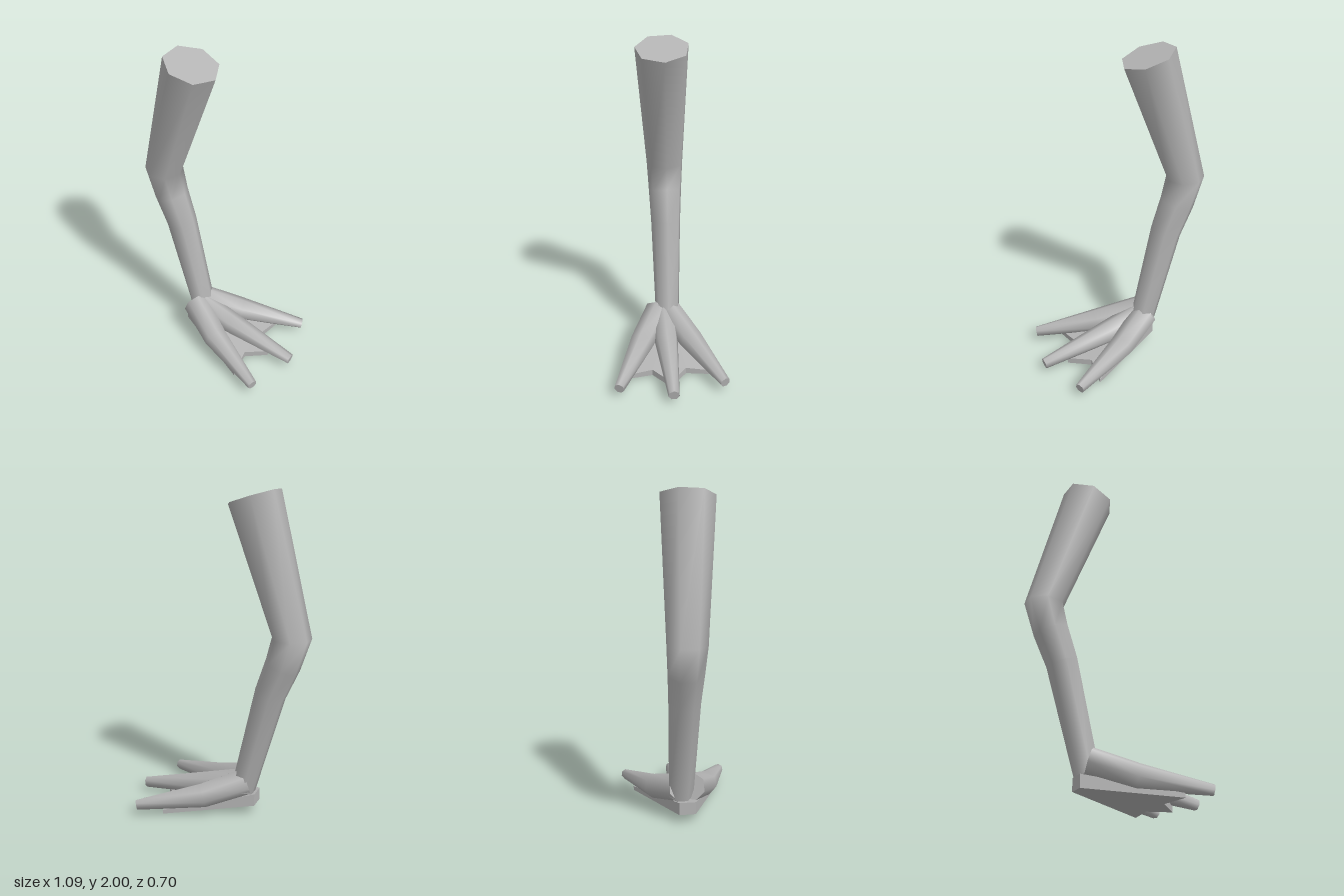
import * as THREE from 'three';

const SIDES = 7;

// Tapered tube through rings [x, y, z, radius]; ref points toward the first corner.
function limbGeometry(rings, ref) {
  const centres = rings.map(([x, y, z]) => new THREE.Vector3(x, y, z));
  const pos = [], idx = [], n = rings.length;
  const loops = rings.map(([, , , r], i) => {
    const t = new THREE.Vector3();
    if (i > 0) t.add(centres[i].clone().sub(centres[i - 1]).normalize());
    if (i < n - 1) t.add(centres[i + 1].clone().sub(centres[i]).normalize());
    t.normalize();
    const u = ref.clone().addScaledVector(t, -ref.dot(t)).normalize();
    const v = t.clone().cross(u);
    return Array.from({ length: SIDES }, (_, j) => {
      const a = (j / SIDES) * Math.PI * 2;
      return centres[i].clone().addScaledVector(u, r * Math.cos(a)).addScaledVector(v, r * Math.sin(a));
    });
  });
  const push = (p) => pos.push(p.x, p.y, p.z);
  loops.forEach((loop) => loop.forEach(push));
  for (let i = 0; i < n - 1; i++) {
    for (let j = 0; j < SIDES; j++) {
      const k = (j + 1) % SIDES;
      const a = i * SIDES + j, b = i * SIDES + k;
      idx.push(a, b, b + SIDES, a, b + SIDES, a + SIDES);
    }
  }
  // Flat caps with their own corners, so the rims stay sharp
  for (const [loop, end] of [[loops[0], false], [loops[n - 1], true]]) {
    const s = pos.length / 3;
    loop.forEach(push);
    for (let j = 1; j < SIDES - 1; j++) {
      if (end) idx.push(s, s + j, s + j + 1);
      else idx.push(s, s + j + 1, s + j);
    }
  }
  const g = new THREE.BufferGeometry();
  g.setAttribute('position', new THREE.Float32BufferAttribute(pos, 3));
  g.setIndex(idx);
  g.computeVertexNormals();
  return g;
}

// Webbed sole: a fan outline, thick at the heel and thin at the front
function webGeometry() {
  const half = [[0.29, 0.28], [0.26, 0.105], [0.375, 0]];
  const outline = [[-0.23, 0.05], ...half, [0.26, -0.105], [0.29, -0.28], [-0.23, -0.05]];
  const shape = new THREE.Shape(outline.map(([x, z]) => new THREE.Vector2(x, z)));
  const g = new THREE.ExtrudeGeometry(shape, { depth: 1, bevelEnabled: false });
  g.rotateX(Math.PI / 2);
  const p = g.attributes.position;
  for (let i = 0; i < p.count; i++) {
    const d = p.getX(i) + 0.23;
    const side = Math.abs(p.getZ(i));
    p.setY(i, p.getY(i) > -0.5 ? 0.14 - 0.17 * d - 0.04 * side : 0.06 - 0.099 * d + 0.04 * side * d);
  }
  g.computeVertexNormals();
  return g;
}

export function createModel() {
  const group = new THREE.Group();
  const skin = new THREE.MeshStandardMaterial({ color: 0xb4b4b4 });
  skin.name = 'grey skin';
  const add = (name, geometry) => {
    const mesh = new THREE.Mesh(geometry, skin);
    mesh.name = name;
    group.add(mesh);
  };

  // Leg, from ankle to thigh
  add('leg', limbGeometry([
    [-0.15, 0.16, -0.03, 0.077],
    [-0.315, 0.8, -0.035, 0.097],
    [-0.39, 0.99, -0.038, 0.108],
    [-0.441, 1.16, -0.04, 0.119],
    [-0.187, 1.953, 0, 0.163],
  ], new THREE.Vector3(1, 0, 0)));

  // Toes
  const up = new THREE.Vector3(0, 1, 0);
  add('middleToe', limbGeometry([
    [-0.15, 0.2, 0, 0.08],
    [0.09, 0.14, 0, 0.074],
    [0.54, 0.06, 0, 0.034],
  ], up));
  for (const [name, s] of [['leftToe', 1], ['rightToe', -1]]) {
    add(name, limbGeometry([
      [-0.17, 0.215, s * 0.035, 0.085],
      [0.07, 0.13, s * 0.16, 0.077],
      [0.45, 0.065, s * 0.32, 0.032],
    ], up));
  }

  add('web', webGeometry());
  return group;
}
